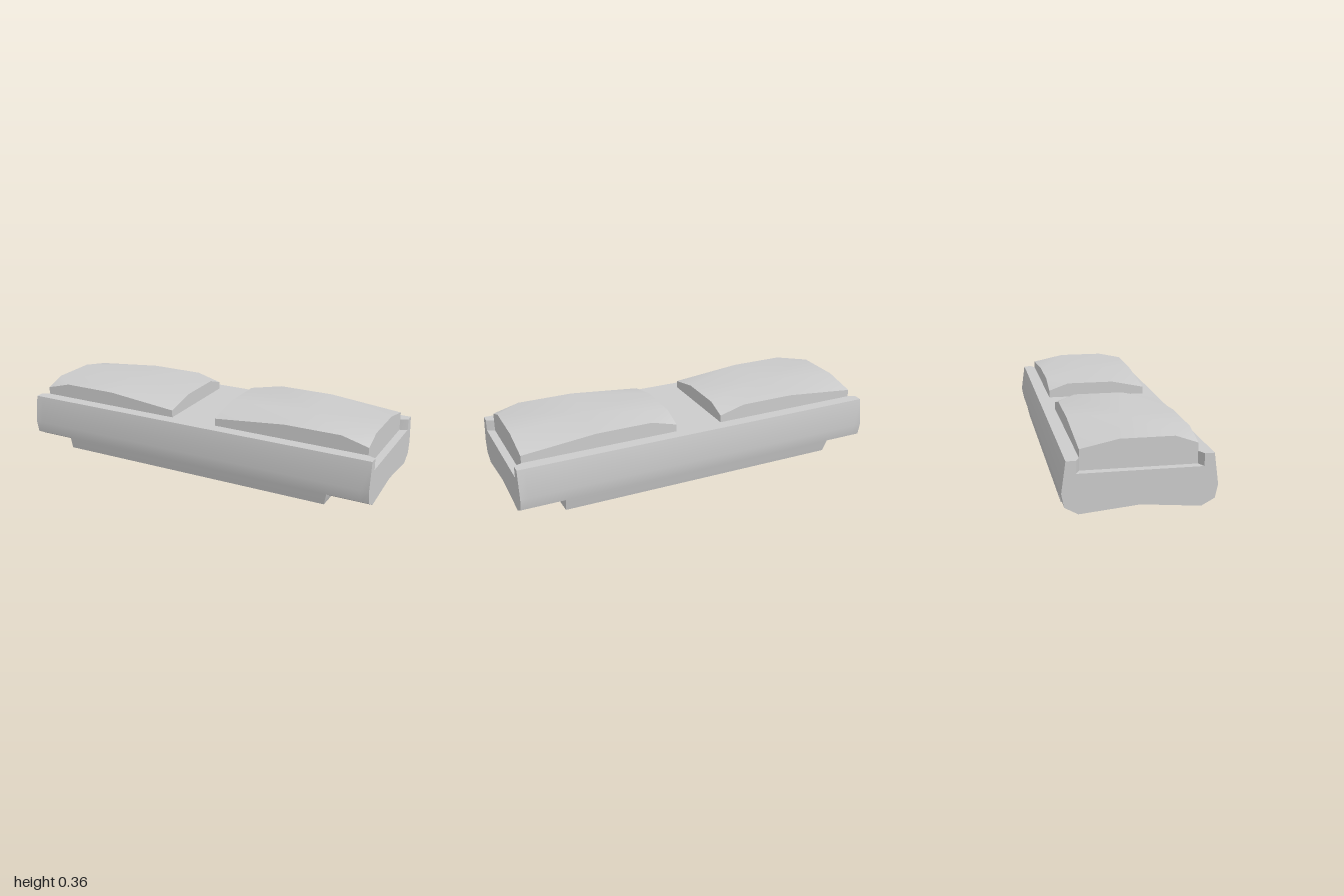
import * as THREE from 'three';
import { toCreasedNormals } from 'three/addons/utils/BufferGeometryUtils.js';

const grey = new THREE.MeshStandardMaterial({ color: 0xcccccc });

// Mesh from a list of triangles, each three Vector3 corners
function meshFrom(name, triangles, crease) {
  const geometry = new THREE.BufferGeometry().setFromPoints(triangles.flat());
  const mesh = new THREE.Mesh(toCreasedNormals(geometry, crease), grey);
  mesh.name = name;
  return mesh;
}

// Cross-section of the body at x, counter-clockwise as seen from +x
function section(x, undercut, notchHalf, notchY) {
  const half = [
    undercut ? [0.282, 0.03] : [0.33, 0],
    [0.345, 0.065], [0.358, 0.13], [0.337, 0.28],
    [notchHalf, 0.28], [notchHalf, notchY],
  ];
  const other = half.map(([u, y]) => [-u, y]).reverse();
  return [[0, undercut ? 0.057 : 0], ...half, ...other]
    .map(([u, y]) => new THREE.Vector3(x, y, -u));
}

// Body: lofted block with undercut ends and a shallow notch in each top end
function createBody() {
  const right = [
    [0.77, false, 0.27, 0.28],
    [0.785, true, 0.27, 0.28],
    [0.95, true, 0.27, 0.28],
    [0.96, true, 0.272, 0.22],
    [1, true, 0.291, 0.22],
  ];
  const left = right.map(([x, ...rest]) => [-x, ...rest]).reverse();
  const rings = [...left, ...right].map((s) => section(...s));
  const triangles = [];
  for (let s = 0; s < rings.length - 1; s++) {
    const a = rings[s], b = rings[s + 1];
    a.forEach((p, i) => {
      const j = (i + 1) % a.length;
      triangles.push([p, a[j], b[i]], [a[j], b[j], b[i]]);
    });
  }
  // End caps
  const first = rings[0], last = rings[rings.length - 1];
  const outline = last.map((p) => new THREE.Vector2(-p.z, p.y));
  for (const [i, j, k] of THREE.ShapeUtils.triangulateShape(outline, [])) {
    triangles.push([last[i], last[j], last[k]], [first[i], first[k], first[j]]);
  }
  return meshFrom('body', triangles, 0.52);
}

// Pad: block with a flat top whose four corners are cut down
function createPad(name, side) {
  const centre = 0.545, base = 0.22, low = 0.319, high = 0.357;
  const halfRing = [
    [0.13, 0.272], [0.52, 0.272], [0.82, 0.272],
    [0.96, 0.272], [0.96, 0.165], [0.96, -0.09],
  ];
  const ring = [...halfRing, ...halfRing.map(([x, z]) => [2 * centre - x, -z])];
  const at = ([x, z], y) => new THREE.Vector3(side * x, y, z);
  const top = ring.map((p, i) => at(p, i % 3 === 0 ? low : high));
  const bottom = ring.map((p) => at(p, base));
  const topCentre = at([centre, 0], high), bottomCentre = at([centre, 0], base);
  const n = ring.length, triangles = [];
  for (let i = 0; i < n; i++) {
    const j = (i + 1) % n;
    triangles.push([bottom[i], bottom[j], top[j]], [bottom[i], top[j], top[i]]);
    triangles.push([bottomCentre, bottom[j], bottom[i]]);
    if (i % 3 === 0) {
      const before = top[(i + n - 1) % n];
      triangles.push([before, top[i], top[j]], [topCentre, before, top[j]]);
    } else if (i % 3 === 1) {
      triangles.push([topCentre, top[i], top[j]]);
    }
  }
  if (side < 0) triangles.forEach((t) => t.reverse());
  return meshFrom(name, triangles, 0.6);
}

export function createModel() {
  const model = new THREE.Group();
  model.name = 'paddedBlock';
  model.add(createBody(), createPad('leftPad', 1), createPad('rightPad', -1));
  return model;
}
